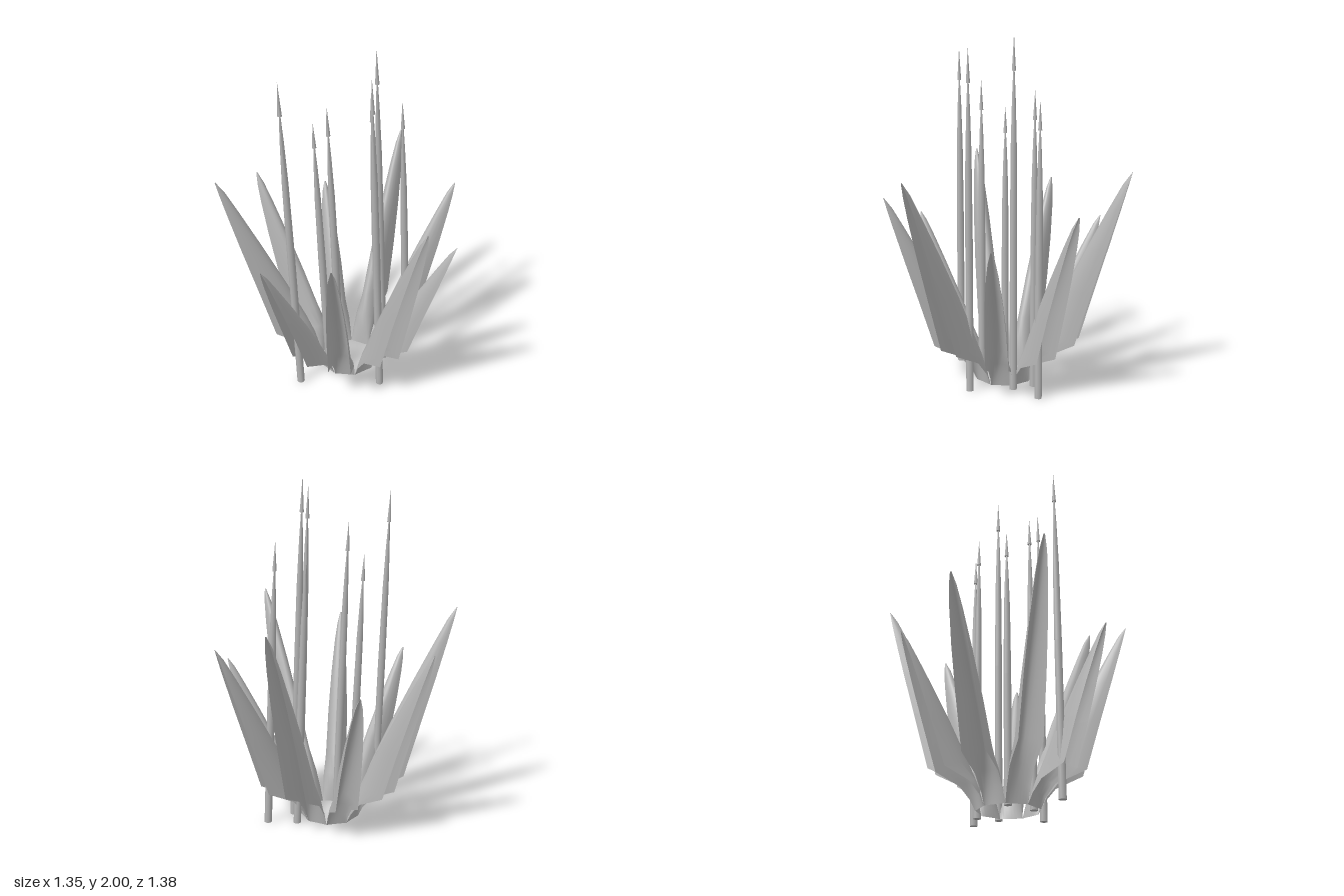
import * as THREE from 'three';
import { toCreasedNormals } from 'three/addons/utils/BufferGeometryUtils.js';

const grey = new THREE.MeshStandardMaterial({ color: 0xb4b4b4, side: THREE.DoubleSide });
grey.name = 'plain grey';

// Stations along a leaf: edge radius, edge height, ridge radius, ridge height, half width
const STATIONS = [
  [0.165, 0, 0.163, 0, 0.06],
  [0.2, 0.075, 0.175, 0.1, 0.062],
  [0.27, 0.165, 0.2, 0.2, 0.065],
  [0.435, 0.25, 0.25, 0.33, 0.065],
  [0.53, 0.575, 0.36, 0.57, 0.059],
  [0.61, 0.84, 0.49, 0.83, 0.048],
  [0.675, 1.06, 0.61, 1.06, 0.033],
  [0.71, 1.18, 0.68, 1.19, 0.02],
  [0.733, 1.26, 0.73, 1.26, 0.004],
];

// Arched leaf growing towards -z: rounded ridge inside, edges flaring outwards
function leafGeometry(heightScale, reachScale) {
  const segments = 10;
  const positions = [];
  const index = [];
  const reach = (r) => 0.165 + (r - 0.165) * reachScale;
  STATIONS.forEach(([edgeR, edgeY, ridgeR, ridgeY, w], i) => {
    for (let j = 0; j <= segments; j++) {
      const a = (j / segments - 0.5) * Math.PI;
      const rise = Math.cos(a);
      const r = THREE.MathUtils.lerp(reach(edgeR), reach(ridgeR), rise);
      const y = THREE.MathUtils.lerp(edgeY, ridgeY, rise) * heightScale;
      positions.push(w * Math.sin(a), y, -r);
      if (i > 0 && j > 0) {
        const d = i * (segments + 1) + j;
        const c = d - 1;
        const b = d - segments - 1;
        const e = b - 1;
        index.push(e, b, c, b, d, c);
      }
    }
  });
  const geometry = new THREE.BufferGeometry();
  geometry.setAttribute('position', new THREE.Float32BufferAttribute(positions, 3));
  geometry.setIndex(index);
  geometry.computeVertexNormals();
  return geometry;
}

// Turned profile, sheared so that it leans slightly back and to the right
function leaningLathe(profile, height) {
  const points = profile.map(([r, f]) => new THREE.Vector2(r, f * height));
  const geometry = new THREE.LatheGeometry(points, 8);
  const p = geometry.attributes.position;
  for (let i = 0; i < p.count; i++) {
    const f = p.getY(i) / height;
    p.setX(i, p.getX(i) - 0.026 * f);
    p.setZ(i, p.getZ(i) - 0.063 * f);
  }
  return toCreasedNormals(geometry, 0.9);
}

function addMesh(parent, name, geometry) {
  const mesh = new THREE.Mesh(geometry, grey);
  mesh.name = name;
  parent.add(mesh);
  return mesh;
}

export function createModel() {
  const model = new THREE.Group();
  model.name = 'spikyPlant';

  // Rosette of nine leaves in three repeating sizes
  const rosette = new THREE.Group();
  rosette.name = 'leafRosette';
  rosette.position.x = -0.047;
  const sizes = [[0.865, 0.92], [0.73, 0.83], [1, 1]];
  const shapes = sizes.map(([h, r]) => leafGeometry(h, r));
  for (let i = 0; i < 9; i++) {
    addMesh(rosette, 'leaf', shapes[i % 3]).rotation.y = (-i * 2 * Math.PI) / 9;
  }
  model.add(rosette);

  // Seven tall stems with pointed heads: tip x, tip z, height
  const stems = [
    [-0.418, -0.16, 1.91], [-0.125, -0.178, 1.58], [-0.2, -0.02, 1.74],
    [-0.15, 0.23, 1.93], [0.065, 0.105, 2], [0.15, 0.013, 1.7], [0.245, 0.157, 1.66],
  ];
  const stemProfile = [[0, 0], [0.022, 0], [0.022, 0.45], [0.018, 0.7], [0.011, 0.83], [0.004, 0.91]];
  const headProfile = [[0, 0.905], [0.012, 0.905], [0.007, 0.945], [0.0005, 1]];
  for (const [x, z, height] of stems) {
    const stalk = new THREE.Group();
    stalk.name = 'stalk';
    stalk.position.set(x + 0.026, 0, z + 0.063);
    addMesh(stalk, 'stem', leaningLathe(stemProfile, height));
    addMesh(stalk, 'pointedHead', leaningLathe(headProfile, height));
    model.add(stalk);
  }
  return model;
}
